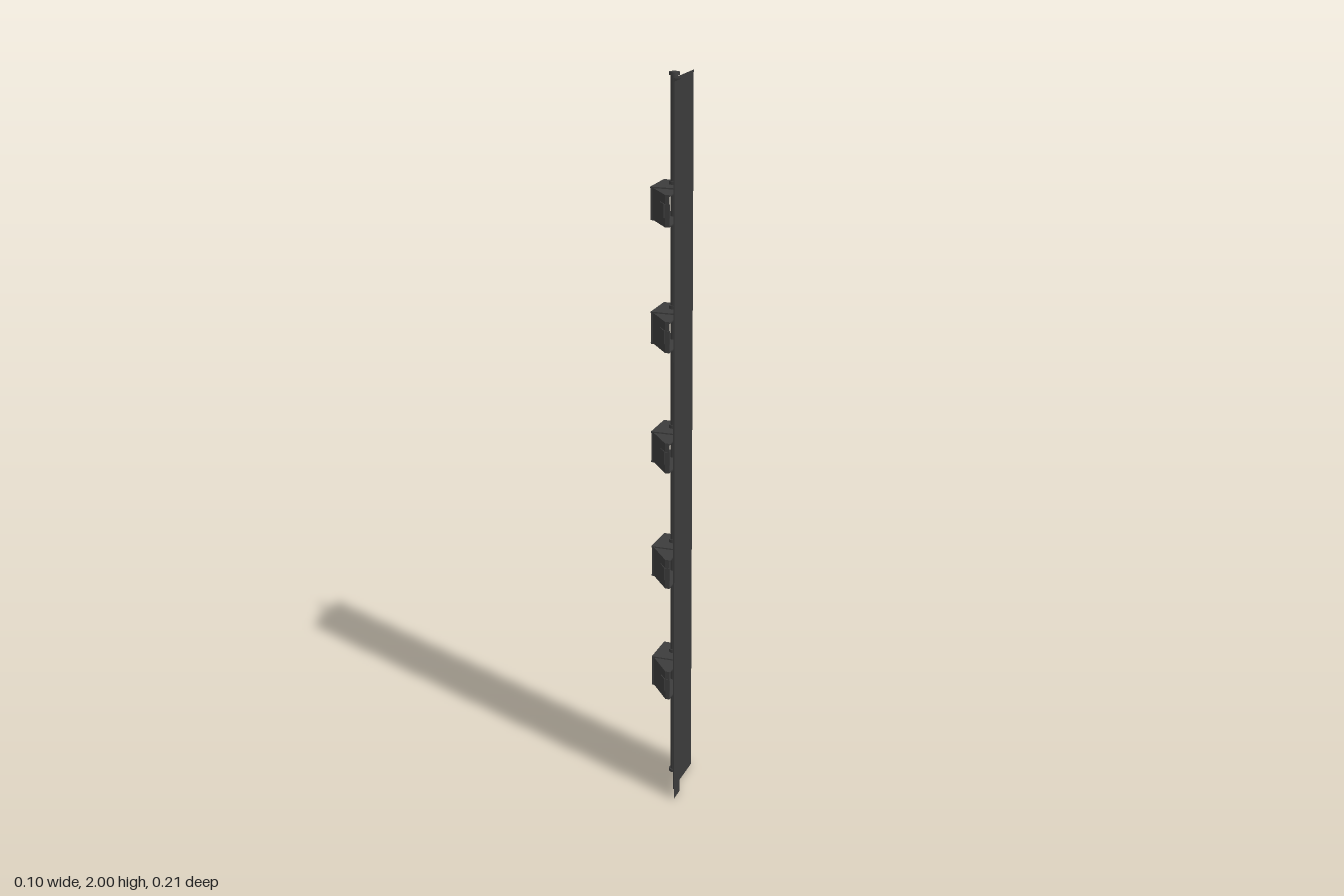
import * as THREE from 'three';

export function createModel() {
  const model = new THREE.Group();
  const metal = new THREE.MeshStandardMaterial({ color: 0x3c3c3c, side: THREE.DoubleSide });

  const add = (parent, geometry, name, x = 0, y = 0, z = 0) => {
    const mesh = new THREE.Mesh(geometry, metal);
    mesh.name = name;
    mesh.position.set(x, y, z);
    parent.add(mesh);
    return mesh;
  };

  // Upright thin sheet following a plan of [x, z] points
  const sheet = (plan, y0, y1) => {
    const pos = [];
    for (let i = 0; i < plan.length - 1; i++) {
      const [ax, az] = plan[i], [bx, bz] = plan[i + 1];
      pos.push(ax, y0, az, bx, y1, bz, bx, y0, bz, ax, y0, az, ax, y1, az, bx, y1, bz);
    }
    const g = new THREE.BufferGeometry();
    g.setAttribute('position', new THREE.Float32BufferAttribute(pos, 3));
    g.computeVertexNormals();
    return g;
  };

  // Flat horizontal plate from a plan of [x, z] points
  const flange = (plan, t) => {
    const shape = new THREE.Shape(plan.map(([x, z]) => new THREE.Vector2(x, -z)));
    const g = new THREE.ExtrudeGeometry(shape, { depth: t, bevelEnabled: false });
    return g.rotateX(-Math.PI / 2).translate(0, -t / 2, 0);
  };

  // Long slat with a stepped lip along its front edge
  add(model, sheet([[0.03, -0.103], [0.03, 0.053], [0.051, 0.056], [0.051, 0.103]], 0, 2), 'slatPanel');

  // Operating rod with end caps
  const rodX = -0.005, rodZ = -0.053;
  add(model, new THREE.CylinderGeometry(0.01, 0.01, 2, 24), 'rod', rodX, 1, rodZ);
  for (const y of [0.004, 1.996]) {
    add(model, new THREE.CylinderGeometry(0.014, 0.014, 0.008, 24), 'rodCap', rodX, y, rodZ);
  }

  // Brackets: channel open at the back, with a slanted front
  const half = 0.042;
  const back = [[-0.052, -0.103], [0.028, -0.103], [0.028, 0], [-0.052, 0]];
  const front = [[-0.046, 0], [0.028, 0], [0.028, 0.075], [0.015, 0.075]];
  for (let i = 1; i <= 5; i++) {
    const bracket = new THREE.Group();
    bracket.name = 'bracket';
    bracket.position.y = i / 3;
    for (const s of [-1, 1]) {
      add(bracket, flange(back, 0.004), 'rearFlange', 0, s * half, 0);
      add(bracket, flange(front, 0.003), 'frontFlange', 0, s * (half - 0.003), 0);
      add(bracket, new THREE.CylinderGeometry(0.014, 0.014, 0.01, 24), 'washer', rodX, s * (half + 0.006), rodZ);
    }
    add(bracket, sheet([[-0.051, -0.103], [-0.051, 0], [-0.046, 0], [0.015, 0.075], [0.028, 0.075]], -half, half), 'bracketWeb');
    // Raised latch on the slanted face
    const latch = add(bracket, new THREE.BoxGeometry(0.03, 0.036, 0.005), 'latch', 0.004, 0, 0.061);
    latch.rotation.y = -Math.atan2(0.075, 0.061);
    add(bracket, new THREE.BoxGeometry(0.014, 0.036, 0.004), 'latchTab', 0.021, 0, 0.075);
    model.add(bracket);
  }

  return model;
}
